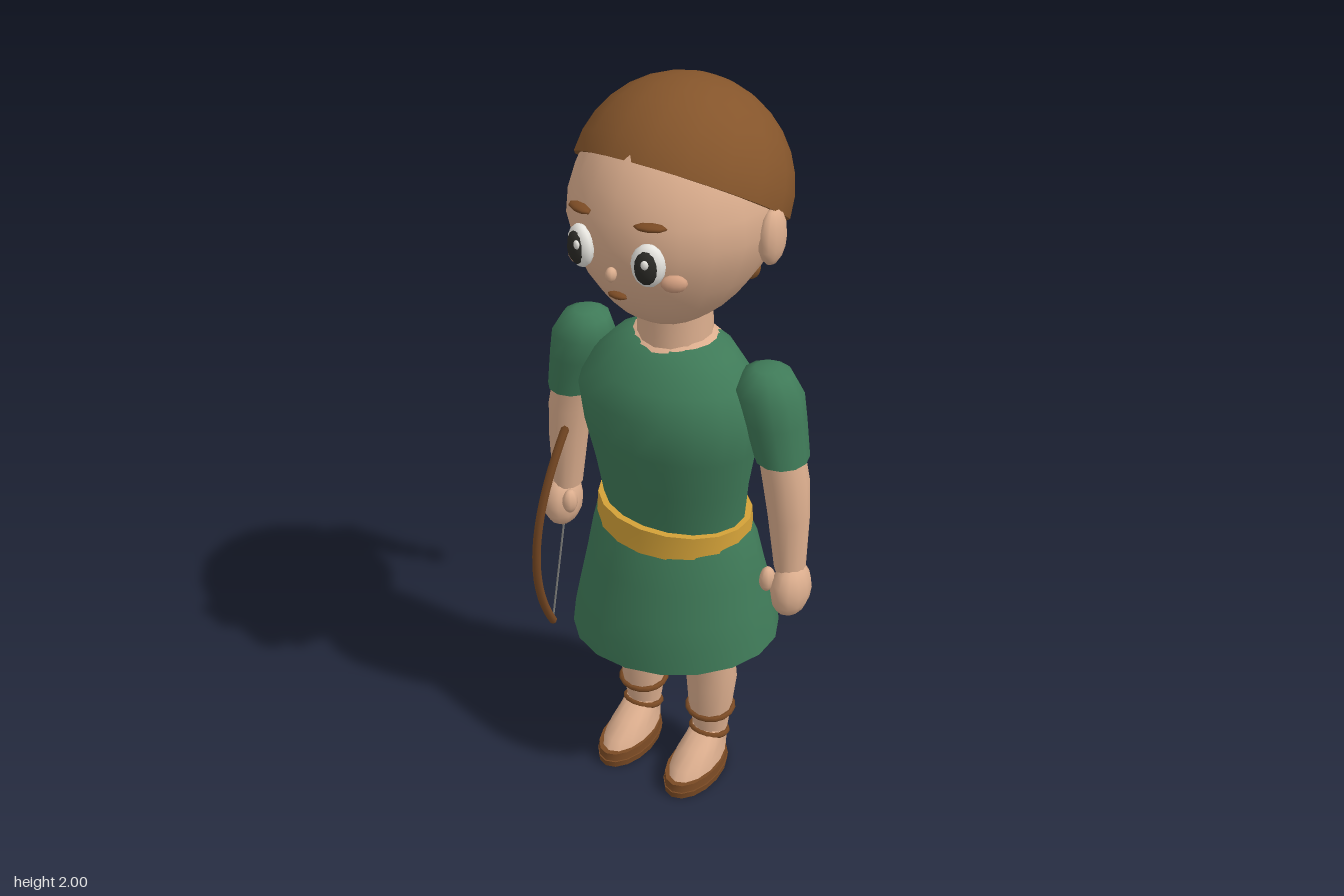
import * as THREE from 'three';
import { toCreasedNormals } from 'three/addons/utils/BufferGeometryUtils.js';

const mat = (name, color, side = THREE.FrontSide) => {
  const m = new THREE.MeshStandardMaterial({ color, side });
  m.name = name;
  return m;
};

export function createModel() {
  const skin = mat('skin', 0xdcae8e);
  const blush = mat('blush', 0xd39f80);
  const hair = mat('brown hair', 0x85552b);
  const cloth = mat('green cloth', 0x3f7a58, THREE.DoubleSide);
  const gold = mat('gold', 0xd3a138);
  const leather = mat('brown leather', 0x7a4a24);
  const white = mat('eye white', 0xe8e6e0);
  const dark = mat('pupil', 0x2b2a26);
  const cord = mat('cord', 0x8a8a86);

  const model = new THREE.Group();
  const figure = new THREE.Group();
  figure.name = 'figure';
  figure.position.x = 0.015;
  model.add(figure);

  const add = (name, geometry, material, parent = figure) => {
    const mesh = new THREE.Mesh(geometry, material);
    mesh.name = name;
    parent.add(mesh);
    return mesh;
  };

  // Stacked ellipses, top to bottom; each row is [y, centreX, centreZ, radiusX, radiusZ]
  const loft = (rows, sides = 12, open = false) => {
    const g = new THREE.CylinderGeometry(1, 1, 1, sides, rows.length - 1, open);
    const p = g.attributes.position;
    for (let i = 0; i < p.count; i++) {
      const [y, cx, cz, rx, rz] = rows[Math.round((0.5 - p.getY(i)) * (rows.length - 1))];
      p.setXYZ(i, cx + p.getX(i) * rx, y, cz + p.getZ(i) * rz);
    }
    return toCreasedNormals(g, 0.9);
  };

  const ball = (name, material, [x, y, z], [rx, ry, rz], turn = 0, sides = 12) => {
    const m = add(name, new THREE.SphereGeometry(1, sides, Math.max(8, sides / 2)), material);
    m.position.set(x, y, z);
    m.scale.set(rx, ry, rz);
    m.rotation.y = turn;
    return m;
  };

  // Head, narrowing toward the chin
  const headGeo = new THREE.SphereGeometry(1, 20, 14);
  const hp = headGeo.attributes.position;
  for (let i = 0; i < hp.count; i++) {
    const t = Math.max(0, -hp.getY(i));
    hp.setXYZ(i, hp.getX(i) * 0.25 * (1 - 0.22 * t), hp.getY(i) * 0.28, hp.getZ(i) * 0.262 * (1 - 0.05 * t));
  }
  headGeo.computeVertexNormals();
  add('head', headGeo, skin).position.set(0, 1.69, 0.042);
  add('neck', loft([[1.5, 0, 0.045, 0.09, 0.09], [1.34, 0, 0.045, 0.095, 0.095]], 14), skin);

  // Hair cap, tilted back, with a closed underside
  const cap = new THREE.Group();
  cap.name = 'hairCap';
  cap.position.set(0, 1.735, 0.017);
  cap.rotation.x = -0.58;
  figure.add(cap);
  add('hair', new THREE.SphereGeometry(0.263, 18, 8, 0, Math.PI * 2, 0, Math.PI / 2), hair, cap);
  add('hairUnderside', new THREE.CircleGeometry(0.263, 18).rotateX(Math.PI / 2), hair, cap);

  // Braid and its band
  const braid = [[1.735, -0.25, 0.055], [1.645, -0.26, 0.05], [1.56, -0.27, 0.043], [1.475, -0.285, 0.036], [1.385, -0.305, 0.031]];
  braid.forEach(([y, z, r]) => ball('braidBead', hair, [0, y, z], [r, Math.max(r, 0.034), r * 0.85], 0, 10));
  const band = add('braidBand', new THREE.CylinderGeometry(0.04, 0.05, 0.04, 10), gold);
  band.position.set(0, 1.79, -0.243);
  band.scale.z = 0.6;
  band.rotation.x = 0.2;

  // Face
  for (const s of [-1, 1]) {
    const turn = s * 0.35;
    ball('ear', skin, [s * 0.252, 1.68, 0.03], [0.028, 0.07, 0.047]);
    ball('eye', white, [s * 0.091, 1.675, 0.293], [0.04, 0.052, 0.025], turn);
    ball('pupil', dark, [s * 0.093, 1.675, 0.303], [0.029, 0.042, 0.021], turn);
    ball('eyeGlint', white, [s * 0.091 + 0.009, 1.69, 0.321], [0.009, 0.011, 0.006], turn, 8);
    ball('brow', leather, [s * 0.094, 1.765, 0.288], [0.038, 0.009, 0.017], turn, 8);
    ball('cheek', blush, [s * 0.134, 1.625, 0.255], [0.031, 0.021, 0.016], s * 0.55);
  }
  ball('nose', skin, [0, 1.633, 0.307], [0.013, 0.018, 0.015], 0, 8);
  ball('mouth', leather, [0, 1.57, 0.284], [0.026, 0.008, 0.012], 0, 8);

  // Tunic
  add('tunic', loft([
    [1.37, 0, 0.045, 0.105, 0.085], [1.34, 0, 0.05, 0.16, 0.12], [1.28, 0, 0.06, 0.215, 0.155],
    [1.21, 0, 0.075, 0.247, 0.172], [1.1, 0, 0.07, 0.237, 0.165], [0.98, 0, 0.06, 0.213, 0.155],
    [0.86, 0, 0.05, 0.198, 0.145]], 18), cloth);
  add('neckline', loft([[1.375, 0, 0.045, 0.1, 0.08], [1.355, 0, 0.045, 0.125, 0.105]], 18), skin);
  add('belt', loft([[0.868, 0, 0.05, 0.214, 0.164], [0.795, 0, 0.05, 0.22, 0.168]], 18), gold);

  // Skirt with a slanting hem
  const skirt = loft([
    [0.86, 0, 0.05, 0.205, 0.14], [0.79, 0, 0.05, 0.232, 0.17], [0.7, 0, 0.05, 0.248, 0.195],
    [0.6, 0, 0.05, 0.27, 0.22], [0.53, 0, 0.05, 0.285, 0.236], [0.46, 0, 0.05, 0.296, 0.24]], 18, true);
  const sp = skirt.attributes.position;
  for (let i = 0; i < sp.count; i++) {
    const t = (0.86 - sp.getY(i)) / 0.4;
    sp.setY(i, sp.getY(i) + 0.135 * sp.getX(i) * t);
  }
  add('skirt', toCreasedNormals(skirt, 0.9), cloth);

  for (const s of [-1, 1]) {
    // Arm
    add('sleeve', loft([
      [1.35, s * 0.262, 0.05, 0.03, 0.035], [1.335, s * 0.264, 0.05, 0.06, 0.06], [1.285, s * 0.272, 0.05, 0.083, 0.08],
      [1.22, s * 0.288, 0.05, 0.076, 0.08], [1.115, s * 0.311, 0.05, 0.067, 0.072]]), cloth);
    add('forearm', loft([
      [1.14, s * 0.306, 0.05, 0.057, 0.06], [1.05, s * 0.325, 0.05, 0.058, 0.06],
      [0.95, s * 0.337, 0.05, 0.052, 0.055], [0.79, s * 0.347, 0.05, 0.039, 0.044]]), skin);
    ball('hand', skin, [s * 0.358, 0.733, 0.06], [0.049, 0.08, 0.066]);
    ball('thumb', skin, [s * 0.308, 0.763, 0.095], [0.02, 0.036, 0.024], 0, 8);

    // Leg
    const x = s * 0.112;
    add('thigh', loft([[0.6, x, 0.05, 0.082, 0.092], [0.5, x, 0.052, 0.077, 0.087], [0.395, x, 0.053, 0.07, 0.076]]), skin);
    add('shin', loft([
      [0.41, x, 0.05, 0.066, 0.072], [0.3, x, 0.037, 0.069, 0.073], [0.2, x, 0.042, 0.06, 0.062],
      [0.11, x, 0.04, 0.047, 0.047], [0.04, x, 0.04, 0.045, 0.045]]), skin);
    add('foot', loft([
      [0.135, x, 0.045, 0.044, 0.046], [0.1, x, 0.075, 0.05, 0.076],
      [0.07, x, 0.1, 0.058, 0.108], [0.03, x, 0.112, 0.063, 0.12]], 14), skin);
    add('soleUpper', loft([[0.045, x, 0.115, 0.068, 0.122], [0.022, x, 0.115, 0.07, 0.125]], 16), leather);
    add('sole', loft([[0.02, x, 0.115, 0.072, 0.127], [0, x, 0.115, 0.07, 0.125]], 16), leather);
    for (const [y, z, r, tilt] of [[0.195, 0.042, 0.062, 0], [0.113, 0.046, 0.05, -0.3]]) {
      const strap = add('ankleStrap', new THREE.TorusGeometry(r, 0.009, 6, 16).rotateX(Math.PI / 2), leather);
      strap.position.set(x, y, z);
      strap.rotation.x = tilt;
    }
  }

  // Bow held in the right hand
  const low = new THREE.Vector3(-0.412, 0.26, 0.05);
  const high = new THREE.Vector3(-0.284, 1.08, 0.05);
  const bend = low.clone().add(high).multiplyScalar(0.5).setZ(0.3);
  const bow = new THREE.Group();
  bow.name = 'bow';
  model.add(bow);
  add('bowStave', new THREE.TubeGeometry(new THREE.QuadraticBezierCurve3(low, bend, high), 24, 0.012, 8), leather, bow);
  add('bowString', new THREE.TubeGeometry(new THREE.LineCurve3(low, high), 1, 0.003, 5), cord, bow);
  for (const end of [low, high]) add('bowTip', new THREE.SphereGeometry(0.012, 8, 6), leather, bow).position.copy(end);

  return model;
}
